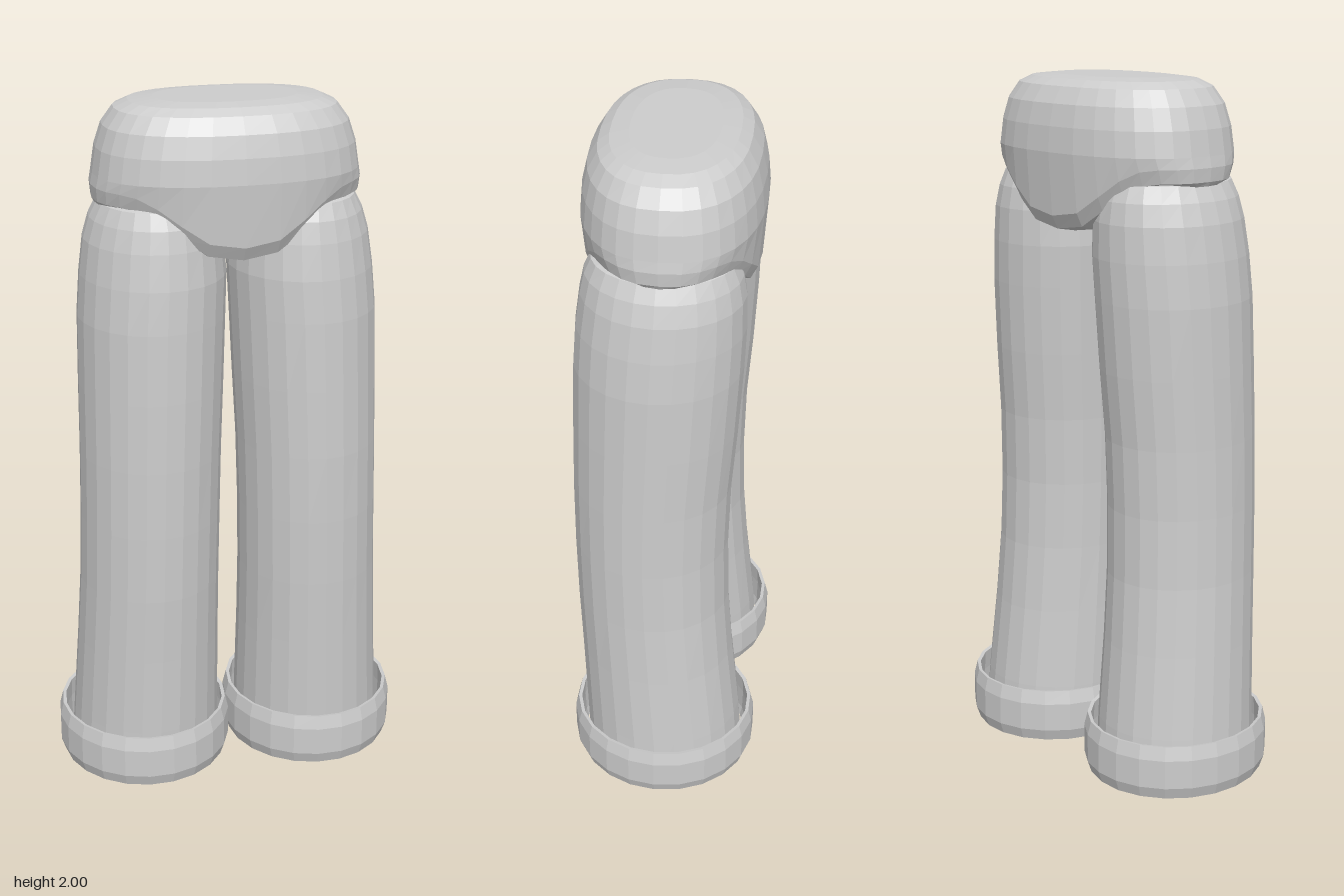
import * as THREE from 'three';

// Skin a list of closed rings (ordered so the surface faces outward going up)
function loft(rings, closed = false) {
  const n = rings[0].length, pos = rings.flat(2), index = [];
  const last = closed ? rings.length : rings.length - 1;
  for (let r = 0; r < last; r++) {
    const s = (r + 1) % rings.length;
    for (let i = 0; i < n; i++) {
      const j = (i + 1) % n;
      const a = r * n + i, b = r * n + j, c = s * n + i, d = s * n + j;
      index.push(a, c, b, b, c, d);
    }
  }
  const g = new THREE.BufferGeometry();
  g.setAttribute('position', new THREE.Float32BufferAttribute(pos, 3));
  g.setIndex(index);
  g.computeVertexNormals();
  return g;
}

// Superellipse ring; y may be a number or a rule of x
function ring(y, cx, cz, rx, rz, n = 24, power = 2) {
  const pow = (v) => Math.sign(v) * Math.abs(v) ** (2 / power);
  return Array.from({ length: n }, (_, i) => {
    const t = (i / n) * Math.PI * 2;
    const x = cx + rx * pow(Math.cos(t));
    return [x, typeof y === 'function' ? y(x) : y, cz + rz * pow(Math.sin(t))];
  });
}

export function createModel() {
  const model = new THREE.Group();
  const grey = new THREE.MeshStandardMaterial({ color: 0xcccccc, flatShading: true, side: THREE.DoubleSide });
  grey.name = 'light grey';
  const add = (name, geometry) => {
    const mesh = new THREE.Mesh(geometry, grey);
    mesh.name = name;
    model.add(mesh);
  };

  // Leg sections: y, inner x, outer x, back z, front z
  const legSections = [
    [0.02, 0.035, 0.482, -0.24, 0.235],
    [0.16, 0.035, 0.473, -0.23, 0.24],
    [0.4, 0.037, 0.458, -0.205, 0.248],
    [0.6, 0.037, 0.447, -0.19, 0.256],
    [0.8, 0.034, 0.441, -0.185, 0.26],
    [1.0, 0.029, 0.437, -0.19, 0.26],
    [1.2, 0.02, 0.434, -0.205, 0.256],
    [1.4, 0.012, 0.43, -0.216, 0.25],
    [1.52, 0.007, 0.42, -0.22, 0.242],
    [1.62, 0.015, 0.406, -0.218, 0.228],
    [1.68, 0.03, 0.388, -0.208, 0.215],
    [1.725, 0.06, 0.365, -0.19, 0.195],
    [1.76, 0.13, 0.29, -0.1, 0.1],
    [1.765, 0.21, 0.21, 0, 0],
  ];

  for (const [side, s] of [['left', 1], ['right', -1]]) {
    add(side + 'Leg', loft(legSections.map(([y, xi, xo, zb, zf]) =>
      ring(y, s * (xi + xo) / 2, (zb + zf) / 2, (xo - xi) / 2, (zf - zb) / 2))));

    // Thin open cuff: outer wall up, inner wall back down
    const cuffProfile = [[0, 0.248], [0.035, 0.26], [0.12, 0.26], [0.16, 0.25], [0.158, 0.24], [0.1, 0.243], [0.03, 0.241], [0, 0.234]];
    add(side + 'Cuff', loft(cuffProfile.map(([y, r]) =>
      ring(y, s * 0.26, 0, r, r + 0.018, 22)), true));
  }

  // Hips: lower edge is cut high over each leg and dips at the crotch
  const edge = (x) => 1.575 + 0.145 * THREE.MathUtils.smoothstep(Math.abs(x), 0.04, 0.32);
  const hipRing = (y, rx, rz, p = 2.4) => ring(y, 0, -0.004, rx, rz, 32, p);
  add('hips', loft([
    hipRing(edge, 0.36, 0),
    hipRing(edge, 0.37, 0.15),
    hipRing((x) => edge(x) + 0.012, 0.377, 0.215),
    hipRing((x) => edge(x) + 0.05, 0.38, 0.235),
    hipRing(1.8, 0.374, 0.247),
    hipRing(1.87, 0.363, 0.241),
    hipRing(1.93, 0.343, 0.227),
    hipRing(1.975, 0.31, 0.2),
    hipRing(1.993, 0.27, 0.17),
    hipRing(2, 0.2, 0.12),
    hipRing(2, 0, 0),
  ]));
  return model;
}
